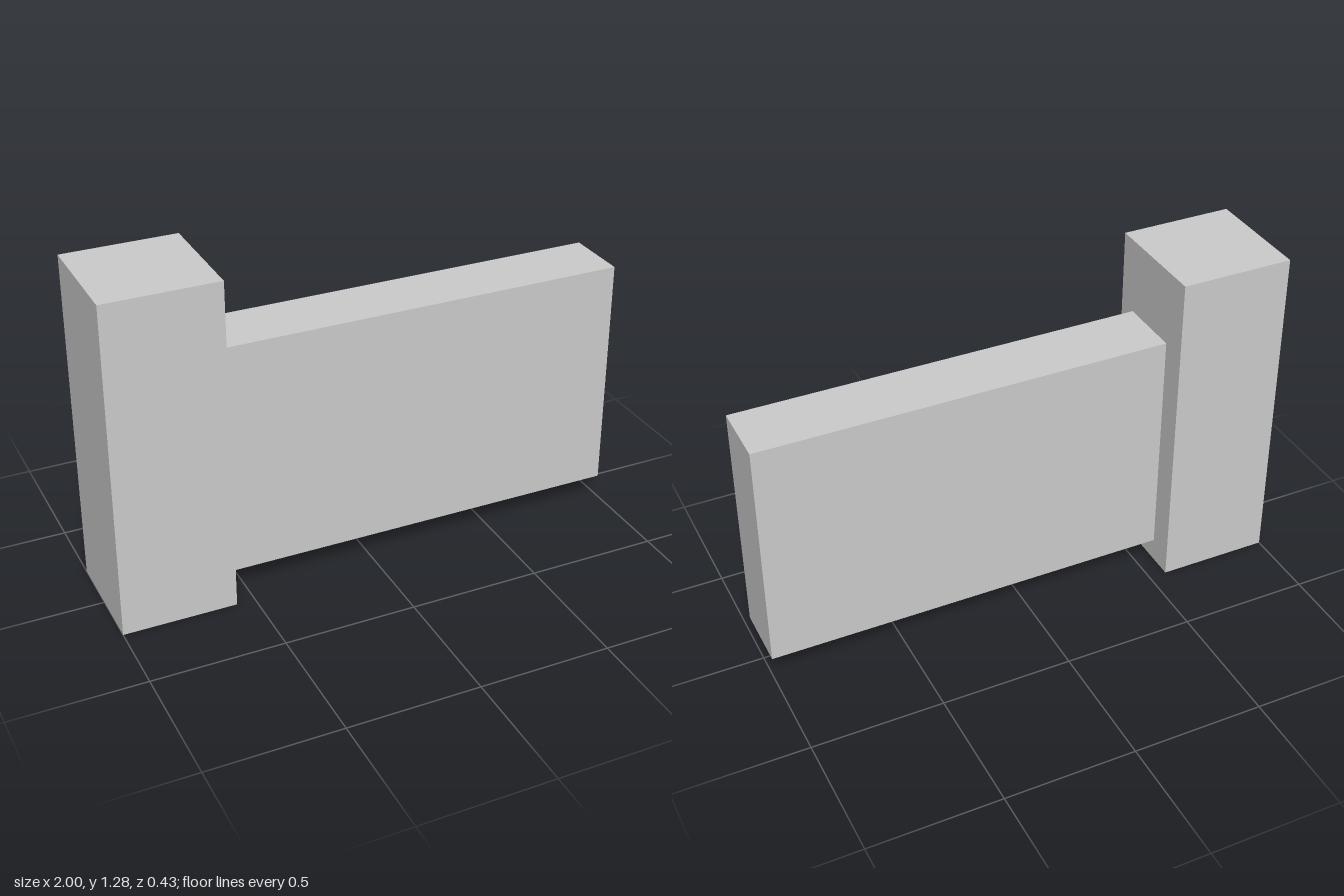
import * as THREE from 'three';

const material = new THREE.MeshStandardMaterial({ color: 0xcccccc, flatShading: true });

// Box given by its lowest and highest corners
function block(name, min, max) {
  const [w, h, d] = max.map((v, i) => v - min[i]);
  const mesh = new THREE.Mesh(new THREE.BoxGeometry(w, h, d), material);
  mesh.position.set(...max.map((v, i) => (v + min[i]) / 2));
  mesh.name = name;
  return mesh;
}

export function createModel() {
  const group = new THREE.Group();
  group.name = 'wallSection';

  // Square end post standing on the ground
  group.add(block('post', [-1, 0, -0.215], [-0.57, 1.285, 0.215]));

  // Thin wall panel butting against the post, raised off the ground
  group.add(block('panel', [-0.57, 0.09, -0.115], [1, 0.997, 0.134]));

  return group;
}
